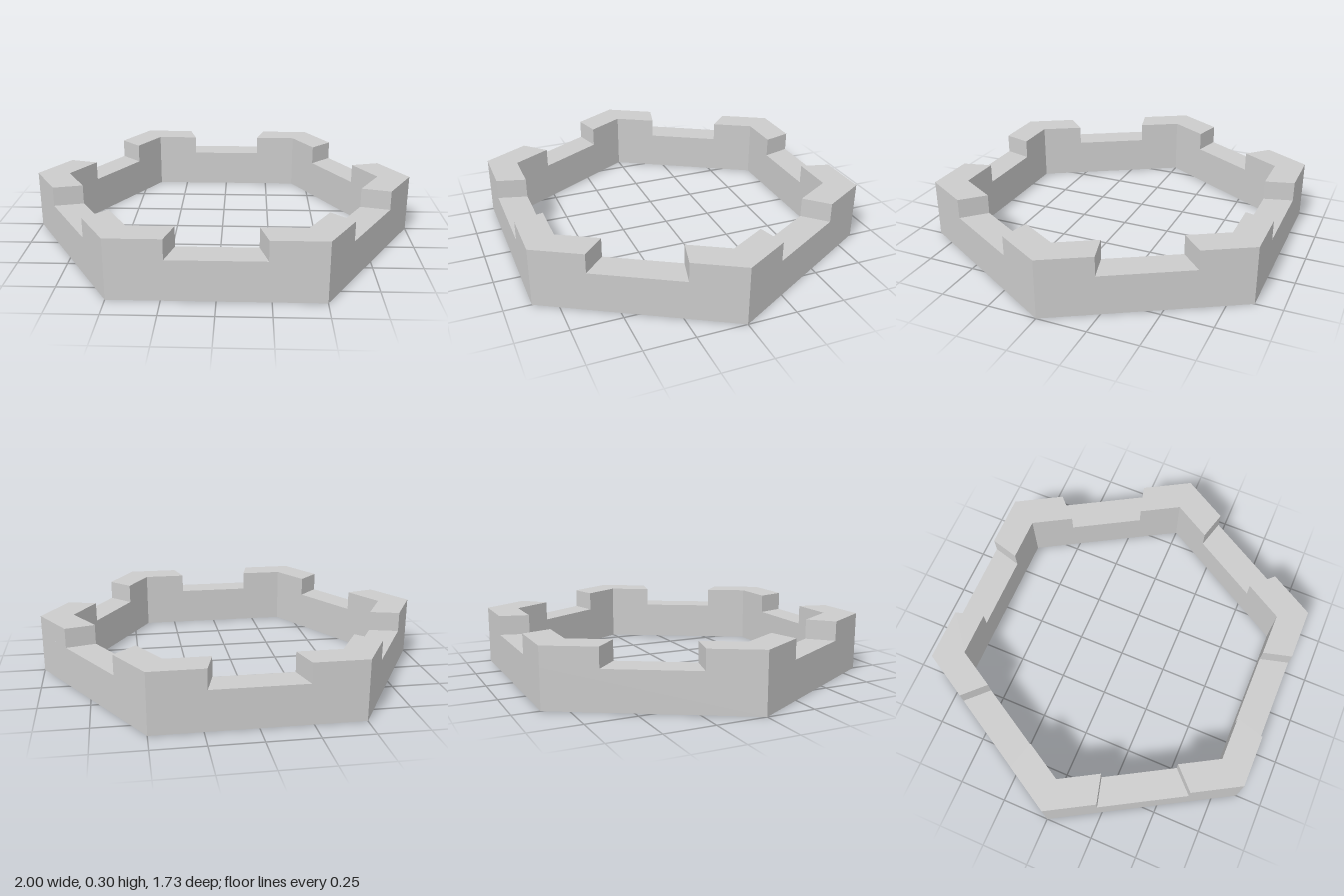
import * as THREE from 'three';

const INNER = 0.83;      // inner hexagon radius (outer is 1)
const LOW = 0.2;         // wall height in the gaps
const HIGH = 0.3;        // height at the raised corners
const NOTCH = 15;        // degrees from a corner to the gap edge

// Point on a hexagon of corner radius r, in the direction of an angle in degrees
function hexPoint(r, deg, y) {
  const side = Math.floor(deg / 60) * 60 + 30;
  const rad = THREE.MathUtils.degToRad;
  const d = r * Math.cos(rad(30)) / Math.cos(rad(deg - side));
  return [d * Math.cos(rad(deg)), y, d * Math.sin(rad(deg))];
}

// Collects flat quads and turns them into a mesh
function quadMesh(name, material, build) {
  const pos = [];
  build((a, b, c, d) => pos.push(...a, ...b, ...c, ...a, ...c, ...d));
  const geometry = new THREE.BufferGeometry();
  geometry.setAttribute('position', new THREE.Float32BufferAttribute(pos, 3));
  geometry.computeVertexNormals();
  const mesh = new THREE.Mesh(geometry, material);
  mesh.name = name;
  return mesh;
}

const out = (deg, y) => hexPoint(1, deg, y);
const inn = (deg, y) => hexPoint(INNER, deg, y);

// Outer and inner faces of one straight stretch of wall
function sides(quad, a, b, y0, y1) {
  quad(out(a, y0), out(a, y1), out(b, y1), out(b, y0));
  quad(inn(b, y0), inn(b, y1), inn(a, y1), inn(a, y0));
}

function top(quad, a, b, y) {
  quad(inn(a, y), inn(b, y), out(b, y), out(a, y));
}

export function createModel() {
  const group = new THREE.Group();
  group.name = 'hexagonalWall';
  const material = new THREE.MeshStandardMaterial({ color: 0xcccccc, flatShading: true });

  // Continuous lower ring, with its top showing only in the gaps
  group.add(quadMesh('wallRing', material, (quad) => {
    for (let i = 0; i < 6; i++) {
      const a = i * 60, b = a + 60;
      sides(quad, a, b, 0, LOW);
      quad(out(a, 0), out(b, 0), inn(b, 0), inn(a, 0));
      top(quad, a + NOTCH, b - NOTCH, LOW);
    }
  }));

  // Raised block bent around each corner, with radial end faces
  for (let i = 0; i < 6; i++) {
    group.add(quadMesh('cornerMerlon' + (i + 1), material, (quad) => {
      const c = i * 60, a = c - NOTCH, b = c + NOTCH;
      for (const [s, e] of [[a, c], [c, b]]) {
        sides(quad, s, e, LOW, HIGH);
        top(quad, s, e, HIGH);
      }
      quad(inn(b, LOW), out(b, LOW), out(b, HIGH), inn(b, HIGH));
      quad(inn(a, HIGH), out(a, HIGH), out(a, LOW), inn(a, LOW));
    }));
  }
  return group;
}
